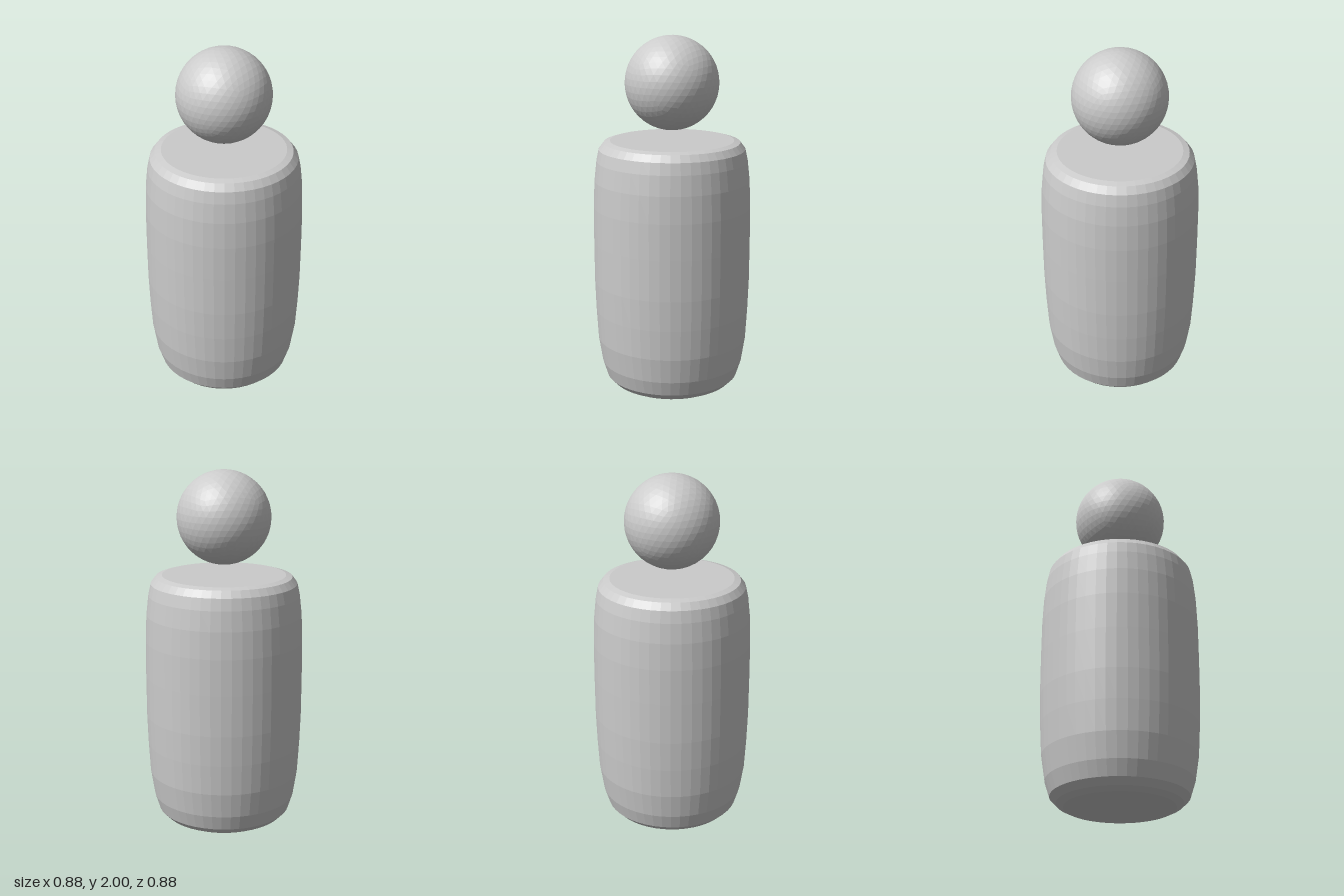
import * as THREE from 'three';

export function createModel() {
  const group = new THREE.Group();
  const material = new THREE.MeshStandardMaterial({ color: 0xcccccc, flatShading: true });

  // Barrel-shaped body with rounded rims and flat closed ends
  const profile = [
    [0, 0], [0.3, 0], [0.34, 0.02], [0.375, 0.055], [0.402, 0.14], [0.424, 0.28],
    [0.434, 0.45], [0.44, 0.62], [0.441, 0.85], [0.44, 1.05], [0.434, 1.2],
    [0.422, 1.31], [0.408, 1.375], [0.38, 1.412], [0.345, 1.422], [0, 1.422],
  ].map(([r, y]) => new THREE.Vector2(r, y));
  const body = new THREE.Mesh(new THREE.LatheGeometry(profile, 48), material);
  body.name = 'body';
  group.add(body);

  // Faceted ball floating above the body, one corner turned straight up
  const ball = new THREE.IcosahedronGeometry(0.26, 7);
  ball.rotateX(-Math.atan((1 + Math.sqrt(5)) / 2));
  const head = new THREE.Mesh(ball, material);
  head.name = 'head';
  head.position.y = 1.74;
  group.add(head);

  return group;
}
